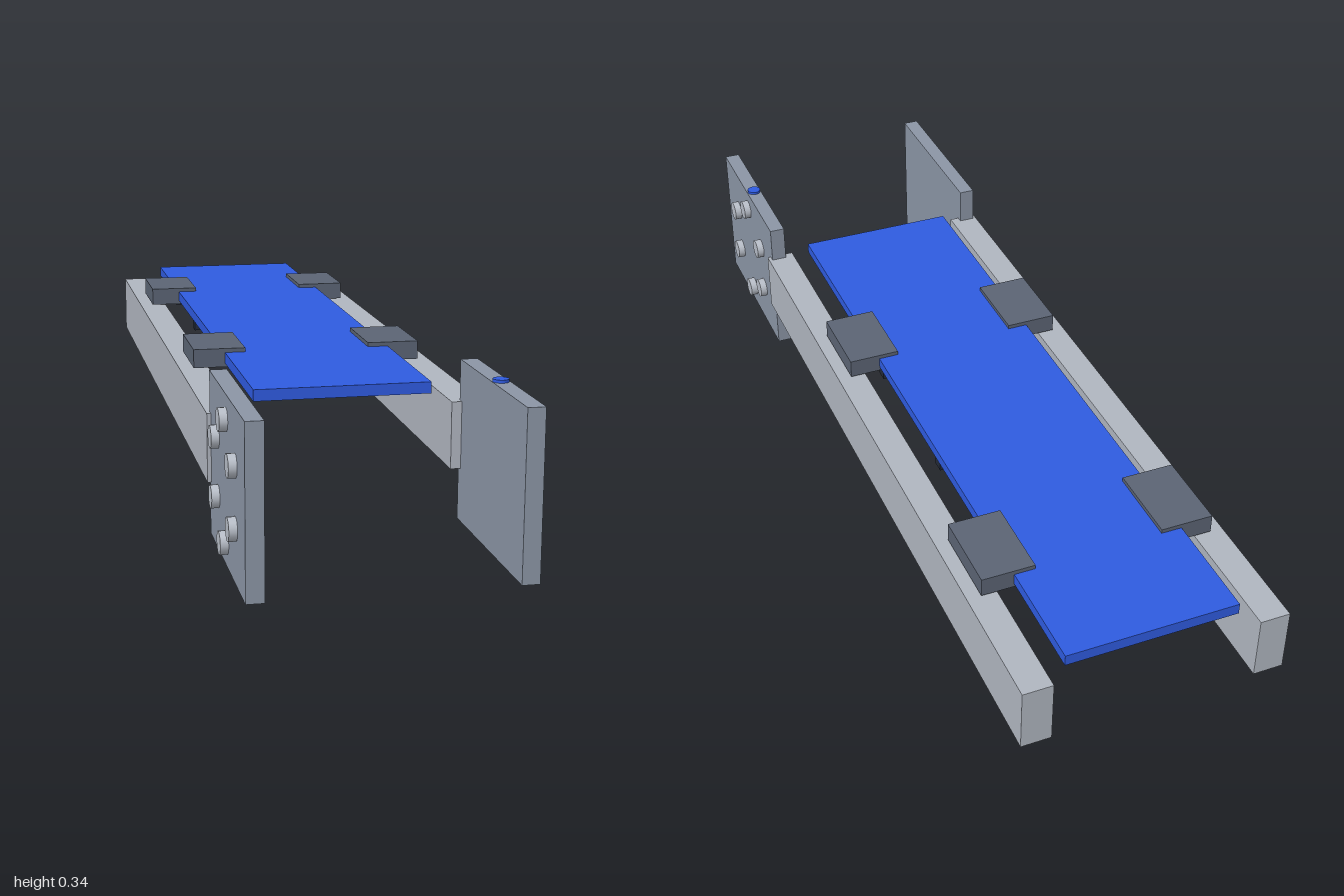
import * as THREE from 'three';

const mat = (color) => new THREE.MeshStandardMaterial({ color });

export function createModel() {
  const model = new THREE.Group();
  const railMat = mat(0xb0b6c0), plateMat = mat(0x8b95a5), boltMat = mat(0xb8bec8);
  const clampMat = mat(0x5b6474), barMat = mat(0x232a38), blueMat = mat(0x2f5be0);

  const add = (name, geometry, material, x, y, z) => {
    const mesh = new THREE.Mesh(geometry, material);
    mesh.name = name;
    mesh.position.set(x, y, z);
    model.add(mesh);
    return mesh;
  };
  // Box given by its limits on each axis
  const box = (name, material, [x0, x1], [y0, y1], [z0, z1]) =>
    add(name, new THREE.BoxGeometry(x1 - x0, y1 - y0, z1 - z0), material,
      (x0 + x1) / 2, (y0 + y1) / 2, (z0 + z1) / 2);

  // Deck and the cross bars beneath it
  box('deck', blueMat, [-0.183, 0.183], [0.262, 0.286], [-0.972, 0.572]);
  for (const z of [0.042, -0.314, -0.67]) {
    box('crossBar', barMat, [-0.178, 0.178], [0.234, 0.262], [z - 0.014, z + 0.014]);
  }

  const boltGeometry = new THREE.CylinderGeometry(0.023, 0.023, 0.025, 16).rotateZ(Math.PI / 2);
  for (const side of [1, -1]) {
    const name = side > 0 ? 'left' : 'right';
    const span = (a, b) => (side > 0 ? [a, b] : [-b, -a]);

    // Side rail and end plate
    box(name + 'Rail', railMat, span(0.217, 0.281), [0.11, 0.25], [-1, 0.604]);
    box(name + 'EndPlate', plateMat, span(0.238, 0.273), [0, 0.334], [0.588, 1]);

    // Clamps gripping the deck edge
    for (const z of [0.126, -0.648]) {
      box(name + 'Clamp', clampMat, span(0.138, 0.252), [0.254, 0.295], [z - 0.088, z + 0.088]);
    }

    // Ring of bolts on the outer face of the plate
    for (let i = 0; i < 6; i++) {
      const a = (i * Math.PI) / 3;
      add(name + 'Bolt', boltGeometry, boltMat,
        side * 0.2765, 0.167 + 0.119 * Math.cos(a), 0.794 + 0.119 * Math.sin(a));
    }
  }

  // Button on top of the left plate
  add('button', new THREE.CylinderGeometry(0.016, 0.016, 0.012, 16), blueMat, 0.255, 0.334, 0.794);
  return model;
}
